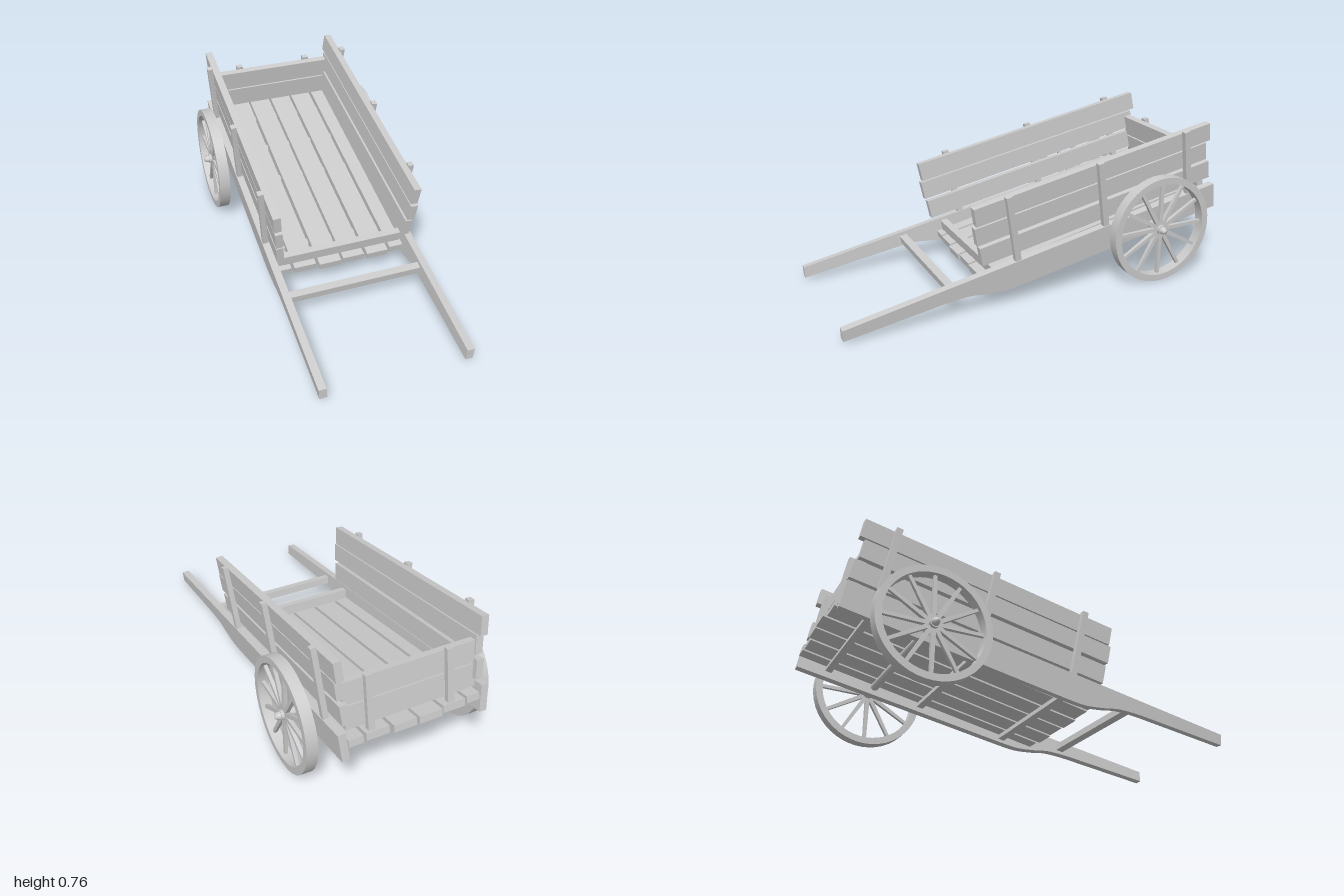
import * as THREE from 'three';

const mat = new THREE.MeshStandardMaterial({ color: 0xcccccc });

function add(parent, name, geo, x = 0, y = 0, z = 0) {
  const m = new THREE.Mesh(geo, mat);
  m.name = name;
  m.position.set(x, y, z);
  parent.add(m);
  return m;
}

// box given by its min/max extents on each axis
function board(parent, name, [x0, x1], [y0, y1], [z0, z1]) {
  return add(parent, name, new THREE.BoxGeometry(x1 - x0, y1 - y0, z1 - z0),
    (x0 + x1) / 2, (y0 + y1) / 2, (z0 + z1) / 2);
}

// long handle shaft whose underside swells into the deep bed rail
function shaftGeometry(thickness) {
  const s = new THREE.Shape();
  s.moveTo(-0.992, -0.132);
  s.lineTo(0.12, -0.134);
  s.splineThru([[0.227, -0.13], [0.325, -0.108], [0.4, -0.085], [0.47, -0.074], [0.55, -0.068]]
    .map(p => new THREE.Vector2(...p)));
  s.lineTo(1.024, -0.052);
  s.lineTo(1.016, 0.003);
  s.lineTo(-0.992, 0);
  s.closePath();
  const g = new THREE.ExtrudeGeometry(s, { depth: thickness, bevelEnabled: false, curveSegments: 12 });
  g.translate(0, 0, -thickness / 2);
  g.rotateY(-Math.PI / 2);
  return g;
}

// shaft, three planks and three posts, leaning outwards (s = +1 left, -1 right)
function makeSide(s) {
  const side = new THREE.Group();
  side.name = s > 0 ? 'leftSide' : 'rightSide';
  side.position.x = s * 0.35;
  side.rotation.z = -s * 0.085;
  const span = (a, b) => s > 0 ? [a, b] : [-b, -a];
  add(side, 'shaft', shaftGeometry(0.036));
  const rows = [
    [[0.03, 0.124], [-0.986, 0.317]],
    [[0.142, 0.233], [-0.97, 0.326]],
    [[0.24, 0.332], [-0.995, 0.315]],
  ];
  for (const [y, z] of rows) board(side, 'sidePlank', span(-0.048, -0.012), y, z);
  for (const z of [0.145, -0.343, -0.84])
    board(side, 'sidePost', span(-0.014, 0.014), [-0.002, 0.343], [z - 0.015, z + 0.015]);
  return side;
}

function makeWheel(s) {
  const wheel = new THREE.Group();
  wheel.name = s > 0 ? 'leftWheel' : 'rightWheel';
  wheel.position.set(s * 0.432, 0.273, -0.605);
  // rim: rectangular section turned around the axle
  const profile = [[0.24, -0.0275], [0.273, -0.0275], [0.273, 0.0275], [0.24, 0.0275], [0.24, -0.0275]];
  for (let i = 0; i < 4; i++) {
    const pair = [profile[i], profile[i + 1]].map(p => new THREE.Vector2(...p));
    add(wheel, 'rim', new THREE.LatheGeometry(pair, 48).rotateZ(Math.PI / 2));
  }
  // tapering spokes
  for (let i = 0; i < 12; i++) {
    const g = new THREE.CylinderGeometry(0.011, 0.015, 0.235, 4, 1).toNonIndexed();
    g.rotateY(Math.PI / 4);
    g.computeVertexNormals();
    g.translate(0, 0.127, 0);
    g.rotateX(i * Math.PI / 6);
    add(wheel, 'spoke', g);
  }
  add(wheel, 'hub', new THREE.CylinderGeometry(0.024, 0.024, 0.05, 20).rotateZ(Math.PI / 2));
  return wheel;
}

export function createModel() {
  const cart = new THREE.Group();
  cart.name = 'handCart';

  // everything but the wheels tips forward onto the handles
  const body = new THREE.Group();
  body.name = 'body';
  body.position.y = 0.25;
  body.rotation.x = 0.1815;
  cart.add(body);
  for (const s of [1, -1]) body.add(makeSide(s));

  // floor slats with uneven ends, and battens underneath
  const floor = new THREE.Group();
  floor.name = 'floor';
  floor.position.y = -0.053;
  floor.rotation.x = 0.018;
  body.add(floor);
  const slats = [
    [-0.325, -0.26, -0.985, 0.3], [-0.245, -0.135, -0.993, 0.304],
    [-0.12, -0.008, -1.008, 0.316], [0.005, 0.115, -1.006, 0.31],
    [0.13, 0.24, -0.994, 0.316], [0.255, 0.325, -0.998, 0.304],
  ];
  for (const [x0, x1, z0, z1] of slats) board(floor, 'floorSlat', [x0, x1], [-0.035, 0], [z0, z1]);
  for (const z of [-0.84, -0.345, 0.13])
    board(floor, 'floorBatten', [-0.33, 0.33], [-0.06, -0.03], [z - 0.016, z + 0.016]);

  // bars across the front
  board(body, 'frontSill', [-0.32, 0.32], [-0.06, -0.005], [0.235, 0.27]);
  board(body, 'crossBar', [-0.335, 0.335], [-0.053, -0.015], [0.465, 0.503]);

  // tailboard
  const tail = new THREE.Group();
  tail.name = 'tailboard';
  body.add(tail);
  board(tail, 'tailPlank', [-0.316, 0.316], [-0.01, 0.1], [-0.962, -0.927]);
  board(tail, 'tailPlank', [-0.322, 0.322], [0.107, 0.213], [-0.962, -0.927]);
  for (const x of [-0.18, 0.208])
    board(tail, 'tailPost', [x - 0.016, x + 0.016], [-0.033, 0.226], [-0.986, -0.96]);

  // axle with rounded ends
  const axle = [[0, -0.485], [0.012, -0.48], [0.018, -0.468], [0.02, -0.45],
    [0.02, 0.45], [0.018, 0.468], [0.012, 0.48], [0, 0.485]].map(p => new THREE.Vector2(...p));
  add(cart, 'axle', new THREE.LatheGeometry(axle, 20).rotateZ(Math.PI / 2), 0, 0.273, -0.605);
  for (const s of [1, -1]) cart.add(makeWheel(s));
  return cart;
}
